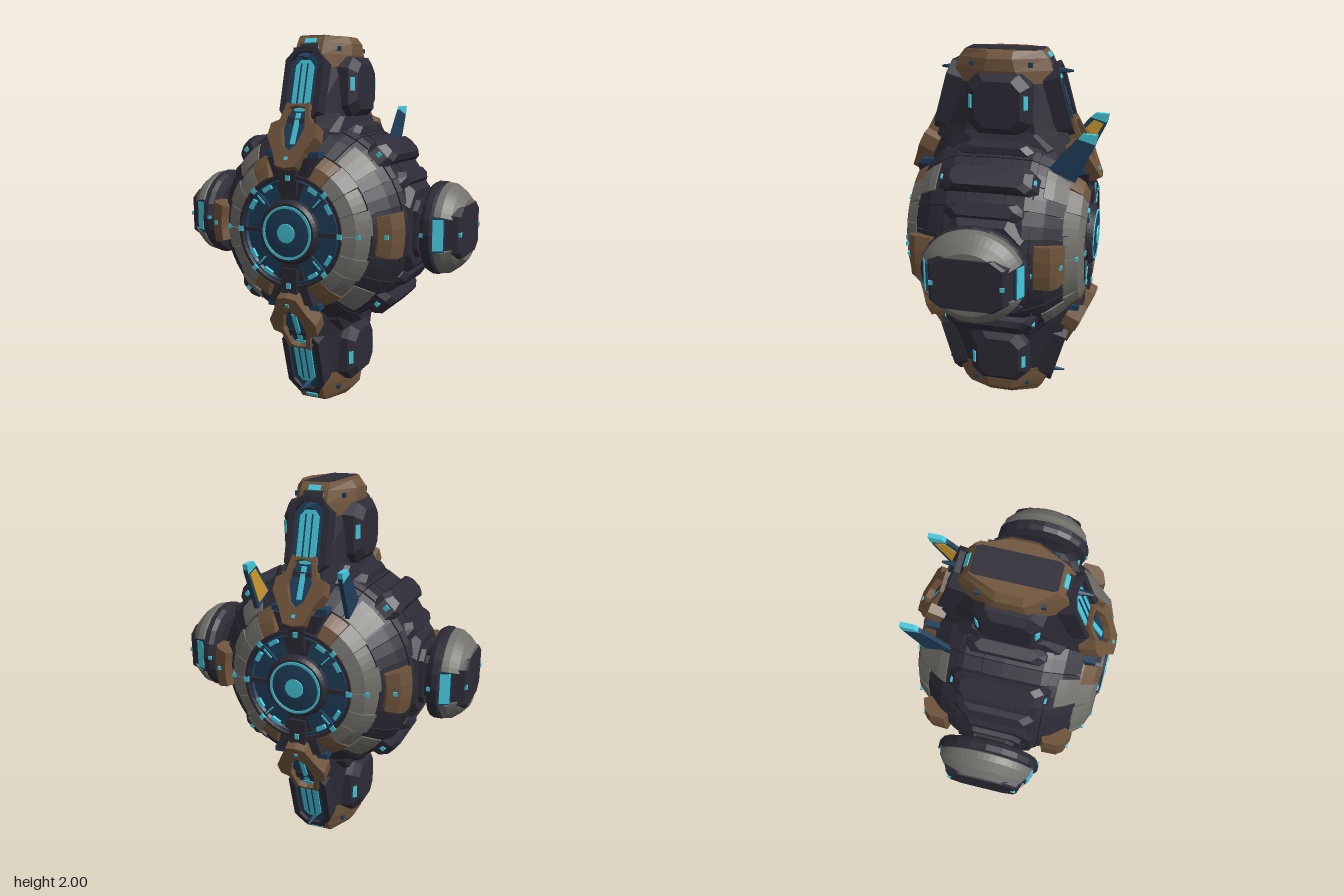
import * as THREE from 'three';
import { mergeGeometries } from 'three/addons/utils/BufferGeometryUtils.js';

const PI = Math.PI, RAD = PI / 180;

export function createModel() {
  const mat = (name, color) => Object.assign(new THREE.MeshStandardMaterial({ color }), { name });
  const dark = mat('charcoal armour', 0x2d2b36), seam = mat('black seams', 0x1d1c24);
  const grey = mat('grey plate', 0x716f6a), brown = mat('bronze plate', 0x6f543b);
  const navy = mat('deep blue', 0x1f3e5a), cyan = mat('cyan glow', 0x46c8dc);
  const gold = mat('gold', 0xcf9c30);

  // flat-shaded mesh
  const add = (parent, name, geo, material, x = 0, y = 0, z = 0) => {
    const g = geo.index ? geo.toNonIndexed() : geo;
    g.computeVertexNormals();
    const m = new THREE.Mesh(g, material);
    m.name = name;
    m.position.set(x, y, z);
    parent.add(m);
    return m;
  };
  const group = (parent, name) => {
    const g = new THREE.Group();
    g.name = name;
    parent.add(g);
    return g;
  };
  const box = (w, h, d) => new THREE.BoxGeometry(w, h, d);

  // revolve (radius, z) points about z; angles in degrees from +x; partial turns get end caps
  const spin = (pts, segs = 48, from = 0, sweep = 360) => {
    const v = pts.map(p => new THREE.Vector2(...p));
    const start = (from + 90) * RAD, len = sweep * RAD;
    const parts = [new THREE.LatheGeometry(v, segs, start, len)];
    if (sweep < 360) [start, start + len].forEach((a, i) => {
      const cap = new THREE.ShapeGeometry(new THREE.Shape(v)).rotateY(a - PI / 2);
      if (i) cap.setIndex(Array.from(cap.index.array).reverse());
      parts.push(cap);
    });
    return mergeGeometries(parts).rotateX(PI / 2);
  };

  // stack of chamfered rectangles: [y, half width x, half depth z, chamfer along x, chamfer along z]
  const loft = rows => {
    const pos = [], idx = [], n = 8, top = (rows.length - 1) * n;
    rows.forEach(([y, w, d, c, e = c]) => [[w, d - e], [w - c, d], [c - w, d], [-w, d - e],
      [-w, e - d], [c - w, -d], [w - c, -d], [w, e - d]].forEach(([x, z]) => pos.push(x, y, z)));
    for (let r = 0; r < top; r += n) for (let i = 0; i < n; i++) {
      const a = r + i, b = r + (i + 1) % n;
      idx.push(a, a + n, b, b, a + n, b + n);
    }
    for (let i = 1; i < n - 1; i++) idx.push(0, i, i + 1, top, top + i + 1, top + i);
    const g = new THREE.BufferGeometry();
    g.setAttribute('position', new THREE.Float32BufferAttribute(pos, 3));
    g.setIndex(idx);
    return g;
  };
  const sideLoft = rows => loft(rows).rotateZ(-PI / 2);
  const extrude = (pts, depth, hole) => {
    const s = new THREE.Shape(pts.map(p => new THREE.Vector2(...p)));
    if (hole) s.holes.push(new THREE.Path(hole.map(p => new THREE.Vector2(...p))));
    return new THREE.ExtrudeGeometry(s, { depth, bevelEnabled: false });
  };
  const mirrored = half => [...half, ...half.filter(p => p[0] > 0).reverse().map(([x, y]) => [-x, y])];

  const root = new THREE.Group();
  root.name = 'model';
  const body = group(root, 'machine');
  body.position.y = 1;

  // front half of the round body
  const face = group(body, 'frontHalf');
  add(face, 'underBody', spin([[.545, 0], [.535, .2], [.485, .3], [.4, .38], [.3, .44], [0, .45]]), seam);
  const bands = [[[.556, 0], [.554, .1]], [[.553, .105], [.55, .2], [.535, .235]], [[.53, .24], [.5, .3], [.42, .39]]];
  for (let i = 0; i < 24; i++)
    for (const b of bands) add(face, 'drumPanel', spin([[b[0][0] - .02, b[0][1]], ...b, [b.at(-1)[0] - .025, b.at(-1)[1] - .005]], 2, i * 15 + .3, 14.4), dark);

  // ring of face plates, broken at top and bottom by the pylons
  for (const side of [0, 180]) {
    [[-68, 15], [-53, 18], [-35, 17], [-18, 18], [0, 18], [18, 17], [35, 18], [53, 15]].forEach(([from, sweep], i) => {
      const low = i % 2 ? .01 : 0, end = i === 0 || i === 7;
      add(face, end ? 'bronzeFacePlate' : 'greyFacePlate', spin([[.41, .31], [.435 - low, .335], [.422 - low, .395],
        [.365, .46], [.3, .485], [.28, .475], [.28, .44]], 3, side + from + .3, sweep - .6), end ? brown : grey);
    });
    for (const s of [-1, 1])
      add(face, 'greyOuterPlate', spin([[.49, .27], [.515, .285], [.485, .33], [.425, .395], [.4, .38]], 3, side + s * 48 - 9, 18), grey);
    add(face, 'bronzeSidePlate', spin([[.5, .25], [.553, .27], [.55, .35], [.525, .385], [.46, .41], [.43, .36]], 3, side - 12, 24), brown);
  }

  // dial and glowing hub
  add(face, 'dialRim', spin([[.3, .44], [.296, .488], [.28, .488], [.272, .46]]), dark);
  add(face, 'dial', spin([[.285, .44], [.283, .465], [.265, .475], [.255, .462], [.14, .47], [0, .47]]), navy);
  add(face, 'hubRim', spin([[.17, .46], [.165, .49], [.15, .508], [.125, .508], [.12, .49]]), dark);
  add(face, 'hubDome', spin([[.127, .485], [.122, .51], [.07, .516], [0, .516]]), navy);
  add(face, 'hubRing', spin([[.14, .507], [.139, .513], [.127, .513], [.126, .507]]), cyan);
  add(face, 'hubLight', spin([[.052, .512], [.049, .521], [0, .522]], 24), cyan);
  for (const a of [0, 45, 135, 180, 225, 315]) {
    const spoke = group(face, 'spoke');
    spoke.rotation.z = a * RAD;
    add(spoke, 'spokeBar', box(.11, .022, .03), a % 180 ? navy : dark, .215, 0, .468);
    if (a % 180) {
      add(spoke, 'spokeLight', box(.06, .008, .006), cyan, .225, 0, .486);
      for (const s of [-1, 1])
        add(face, 'dialLight', spin([[.266, .464], [.264, .48], [.243, .48], [.242, .462]], 4, a + s * 14 - 6, 12), cyan);
    } else {
      add(spoke, 'rivetPlate', box(.022, .022, .012), cyan, .372, 0, .457);
      add(spoke, 'sideRivet', box(.02, .02, .012), cyan, .5, 0, .398);
    }
    add(spoke, 'rivet', box(.026, .026, .012), cyan, .285, 0, .488);
  }
  const back = face.clone();
  back.name = 'backHalf';
  back.rotation.y = PI;
  body.add(back);

  // raised bars around the rim
  for (const side of [0, 180]) for (const a of [-67, -45, -28, 28, 45, 67]) {
    const bar = group(body, 'rimBar'), wide = Math.abs(a) === 45;
    bar.rotation.z = (side + a - 90) * RAD;
    const w = wide ? .07 : .045, r = wide ? .605 : .585, d = wide ? .23 : .2;
    add(bar, 'rimBarBlock', loft([[.5, w, d + .04, .03], [r - .03, w, d, .03], [r, w - .015, d - .04, .03]]), dark);
    if (wide) for (const s of [-1, 1]) add(bar, 'rimBarLight', box(.025, .025, .012), cyan, 0, .555, s * (d + .012));
  }

  // top pylon, turned over for the bottom
  const pylon = group(body, 'topPylon');
  add(pylon, 'pylonCore', loft([[.3, .15, .43, .07, .15], [.42, .17, .41, .08, .18], [.52, .165, .37, .07, .18], [.6, .15, .345, .06, .16],
    [.84, .145, .27, .07, .14], [.97, .12, .2, .06, .12]]), dark);
  add(pylon, 'pylonCap', loft([[.835, .153, .275, .075, .15], [.9, .168, .262, .09, .18], [.96, .165, .235, .09, .17], [.997, .135, .205, .06, .14]]), brown);
  add(pylon, 'capSpine', loft([[.8, .08, .293, .02], [.9, .072, .268, .02], [.95, .072, .242, .02], [1, .075, .2, .01, .02]]), dark);
  for (const s of [-1, 1]) {
    const pod = group(pylon, 'pylonSidePod');
    pod.rotation.y = s > 0 ? 0 : PI;
    add(pod, 'sidePodShell', sideLoft([[.1, .155, .18, .05], [.185, .155, .165, .06], [.22, .12, .12, .05]]), dark, 0, .735);
    add(pod, 'flankPlate', sideLoft([[.1, .12, .3, .08], [.175, .11, .26, .08], [.19, .07, .2, .06]]), dark, 0, .47);
    for (const f of [-1, 1]) {
      const l = add(pod, 'sidePodLight', box(.026, .07, .012), cyan, .2, .75, f * .145);
      l.rotation.y = f > 0 ? .7 : -.7 + PI;
      add(pod, 'capRivet', box(.014, .024, .024), navy, .13, .93, f * .155);
    }
  }
  for (const f of [0, PI]) {
    const front = group(pylon, 'pylonFace');
    front.rotation.y = f;
    // glowing channel
    const channel = group(front, 'channel');
    channel.position.set(0, .735, .308);
    channel.rotation.x = -.28;
    const slot = (w, h) => mirrored([[0, -h], [w * .5, -h], [w, -h + w * .6], [w, h - w * .6], [w * .5, h], [0, h]]);
    add(channel, 'channelFrame', extrude(slot(.11, .2), .09, slot(.078, .175)), dark, 0, 0, -.06);
    add(channel, 'channelBed', extrude(slot(.08, .18), .02), navy, 0, 0, -.01);
    add(channel, 'channelGlow', extrude(slot(.052, .135), .008), cyan, 0, 0, .01);
    for (const s of [-1, 1]) add(channel, 'channelRib', box(.006, .23, .008), navy, s * .018, 0, .02);
    // pointed bronze guard around a blue recess
    const beak = group(front, 'beak');
    beak.position.set(0, .335, .53);
    beak.rotation.x = -.45;
    add(beak, 'beakGuard', extrude(mirrored([[0, 0], [.055, .01], [.09, .09], [.137, .17], [.13, .24], [.085, .26], [.062, .36], [.048, .35]]),
      .09, mirrored([[0, .09], [.04, .125], [.068, .22], [.045, .33], [0, .34]])), brown, 0, 0, -.09);
    add(beak, 'beakBed', extrude(mirrored([[0, .08], [.05, .11], [.075, .22], [.05, .35], [0, .385]]), .05), navy, 0, 0, -.085);
    add(beak, 'beakGlow', box(.026, .17, .008), cyan, 0, .225, -.031);
    add(beak, 'beakRivet', box(.018, .018, .008), cyan, 0, .05, .002);
    // neck down to the hub, with blue shoulders
    add(front, 'neck', extrude(mirrored([[0, .165], [.05, .165], [.13, .38], [0, .38]]), .1), dark, 0, 0, .37);
    add(front, 'neckShoulder', box(.3, .03, .1), navy, 0, .395, .395);
    add(front, 'neckRidge', box(.09, .16, .05), dark, 0, .27, .465);
    add(front, 'neckLight', box(.024, .028, .01), cyan, 0, .28, .493);
    // cap light and spike
    const capLight = add(front, 'capLight', box(.065, .03, .008), cyan, 0, .97, .229);
    capLight.rotation.x = -.7;
    add(front, 'spike', new THREE.CylinderGeometry(.006, .024, .12, 6).rotateX(PI / 2), navy, 0, .89, .295);
    add(front, 'spikeTip', new THREE.ConeGeometry(.008, .02, 6).rotateX(PI / 2), cyan, 0, .89, .35);
  }
  const bottom = pylon.clone();
  bottom.name = 'bottomPylon';
  bottom.rotation.z = PI;
  body.add(bottom);

  // side arms ending in heavy pods
  for (const s of [0, PI]) {
    const arm = group(body, s ? 'rightArm' : 'leftArm');
    arm.rotation.y = s;
    add(arm, 'armSocket', sideLoft([[.4, .3, .26, .1], [.5, .25, .23, .09], [.55, .2, .2, .08]]), dark);
    add(arm, 'armSocketStep', sideLoft([[.5, .16, .17, .05], [.575, .15, .15, .05]]), dark);
    add(arm, 'armBeam', sideLoft([[.5, .12, .13, .03], [.63, .11, .12, .03]]), dark);
    for (const y of [-.1, .1]) add(arm, 'armRail', box(.1, .05, .16), seam, .58, y);
    const onArm = (pts, ...arc) => spin(pts, 20, ...arc).rotateY(PI / 2).scale(1, .9, 1);
    add(arm, 'podDisc', onArm([[0, .605], [.21, .605], [.262, .62], [.275, .645], [.275, .675], [.25, .69], [0, .69]]), dark);
    // grey shell above and below a recessed dark band
    for (const from of [23, 203])
      add(arm, 'podShell', onArm([[0, .68], [.25, .68], [.268, .69], [.262, .725], [.225, .77], [.18, .806], [0, .806]], from, 134), grey);
    add(arm, 'podBand', sideLoft([[.66, .11, .25, .02], [.69, .11, .235, .02], [.74, .115, .212, .02, .02], [.8, .135, .19, .04, .06], [.811, .13, .175, .04, .06]]), dark);
    for (const f of [-1, 1]) {
      const win = group(arm, 'podWindow');
      win.position.set(.707, 0, f * .23);
      win.rotation.y = f > 0 ? .45 : PI - .45;
      add(win, 'windowFrame', box(.07, .19, .02), navy);
      add(win, 'windowGlow', box(.055, .16, .01), cyan, 0, 0, .01);
      add(arm, 'podRivet', box(.016, .022, .022), cyan, .808, 0, f * .175);
      add(arm, 'beamRivet', box(.02, .02, .012), cyan, .635, 0, f * .27);
    }
  }

  // pair of swept blades at the upper back, gold on the inside
  const blade = [[.28, .43], [.42, .37], [.515, .57], [.525, .62], [.45, .62], [.415, .59]];
  const inlay = [[.31, .44], [.41, .40], [.495, .565], [.44, .585]];
  const tip = [[.425, .597], [.515, .572], [.526, .622], [.45, .624]];
  for (const s of [-1, 1]) {
    const fin = group(body, s > 0 ? 'leftFin' : 'rightFin');
    fin.position.x = s * .25;
    add(fin, 'finBlade', extrude(blade, .022).rotateY(PI / 2), navy, -.011);
    add(fin, 'finInlay', extrude(inlay, .006).rotateY(PI / 2), gold, -s * .012 - .003);
    add(fin, 'finTip', extrude(tip, .026).rotateY(PI / 2), cyan, -.013);
  }
  return root;
}
